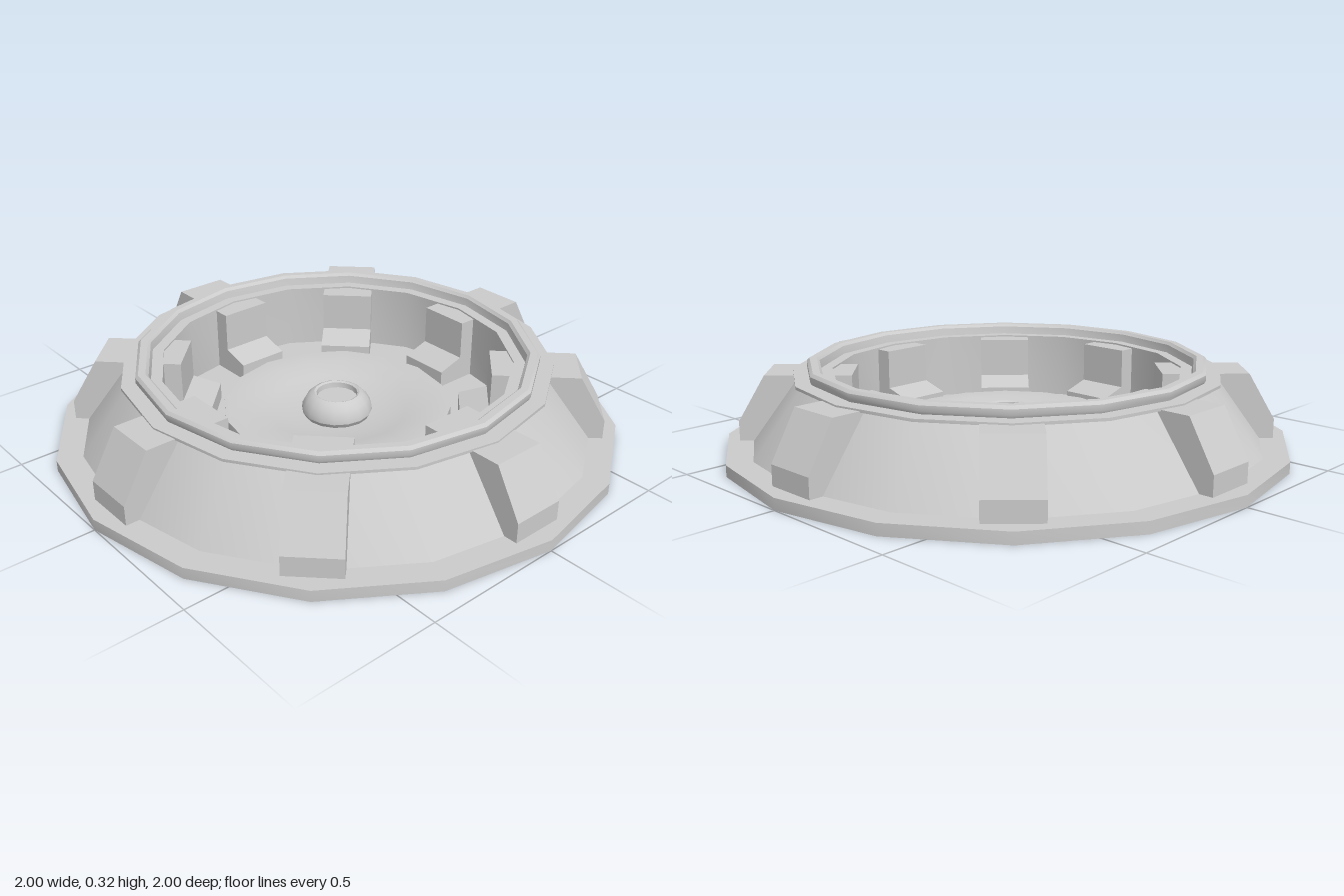
import * as THREE from 'three';
import { toCreasedNormals } from 'three/addons/utils/BufferGeometryUtils.js';

const SIDES = 16;
const material = new THREE.MeshStandardMaterial({ color: 0xcccccc, side: THREE.DoubleSide });

// Spun sheet from [radius, height] points, with sharp profile edges
function spun(name, points, sides = SIDES) {
  const profile = points.map(([r, y]) => new THREE.Vector2(r, y));
  const geometry = toCreasedNormals(new THREE.LatheGeometry(profile, sides), 0.6);
  const mesh = new THREE.Mesh(geometry, material);
  mesh.name = name;
  return mesh;
}

// Radial rib: an extruded section, open underneath
function ribGeometry(section, width) {
  const shape = new THREE.Shape(section.map(([r, y]) => new THREE.Vector2(r, y)));
  const solid = new THREE.ExtrudeGeometry(shape, { depth: width, bevelEnabled: false });
  solid.translate(0, 0, -width / 2);
  const p = solid.attributes.position;
  const bottom = section[0][1];
  const kept = [];
  for (let i = 0; i < p.count; i += 3) {
    const corners = [i, i + 1, i + 2];
    if (corners.every((k) => Math.abs(p.getY(k) - bottom) < 1e-4)) continue;
    corners.forEach((k) => kept.push(p.getX(k), p.getY(k), p.getZ(k)));
  }
  const geometry = new THREE.BufferGeometry();
  geometry.setAttribute('position', new THREE.Float32BufferAttribute(kept, 3));
  geometry.computeVertexNormals();
  return geometry;
}

export function createModel() {
  const model = new THREE.Group();
  model.name = 'roundBase';

  // Flange and sloping outer wall
  model.add(spun('outerShell', [[1, 0], [1, 0.04], [0.91, 0.04], [0.745, 0.268]]));

  // Top ledge with its rounded rim, inner wall and floor
  model.add(spun('rimAndWell', [
    [0.745, 0.268], [0.76, 0.27], [0.76, 0.28], [0.705, 0.28],
    [0.71, 0.29], [0.71, 0.308], [0.70, 0.318], [0.675, 0.318],
    [0.665, 0.308], [0.66, 0.28], [0.62, 0.28], [0.62, 0.04], [0.41, 0.04],
  ]));

  // Raised centre disc with a shallow dish
  model.add(spun('dish', [
    [0.41, 0.04], [0.41, 0.095], [0.33, 0.095], [0.25, 0.075],
    [0.18, 0.06], [0.12, 0.055],
  ]));

  // Hollow centre knob with a recessed cap
  model.add(spun('centreKnob', [
    [0.115, 0.05], [0.127, 0.07], [0.125, 0.09], [0.112, 0.115], [0.095, 0.132],
    [0.082, 0.138], [0.074, 0.134], [0.072, 0.115], [0, 0.115],
  ]));

  // Eight ribs that pass through the shell, stepped on both sides
  const rib = ribGeometry([
    [0.94, 0.005], [0.94, 0.11], [0.845, 0.274], [0.54, 0.274],
    [0.54, 0.13], [0.44, 0.10], [0.44, 0.005],
  ], 0.19);
  const ribs = new THREE.Group();
  ribs.name = 'ribs';
  for (let i = 0; i < 8; i++) {
    const mesh = new THREE.Mesh(rib, material);
    mesh.name = 'rib';
    mesh.rotation.y = (i * Math.PI) / 4;
    ribs.add(mesh);
  }
  model.add(ribs);

  return model;
}
